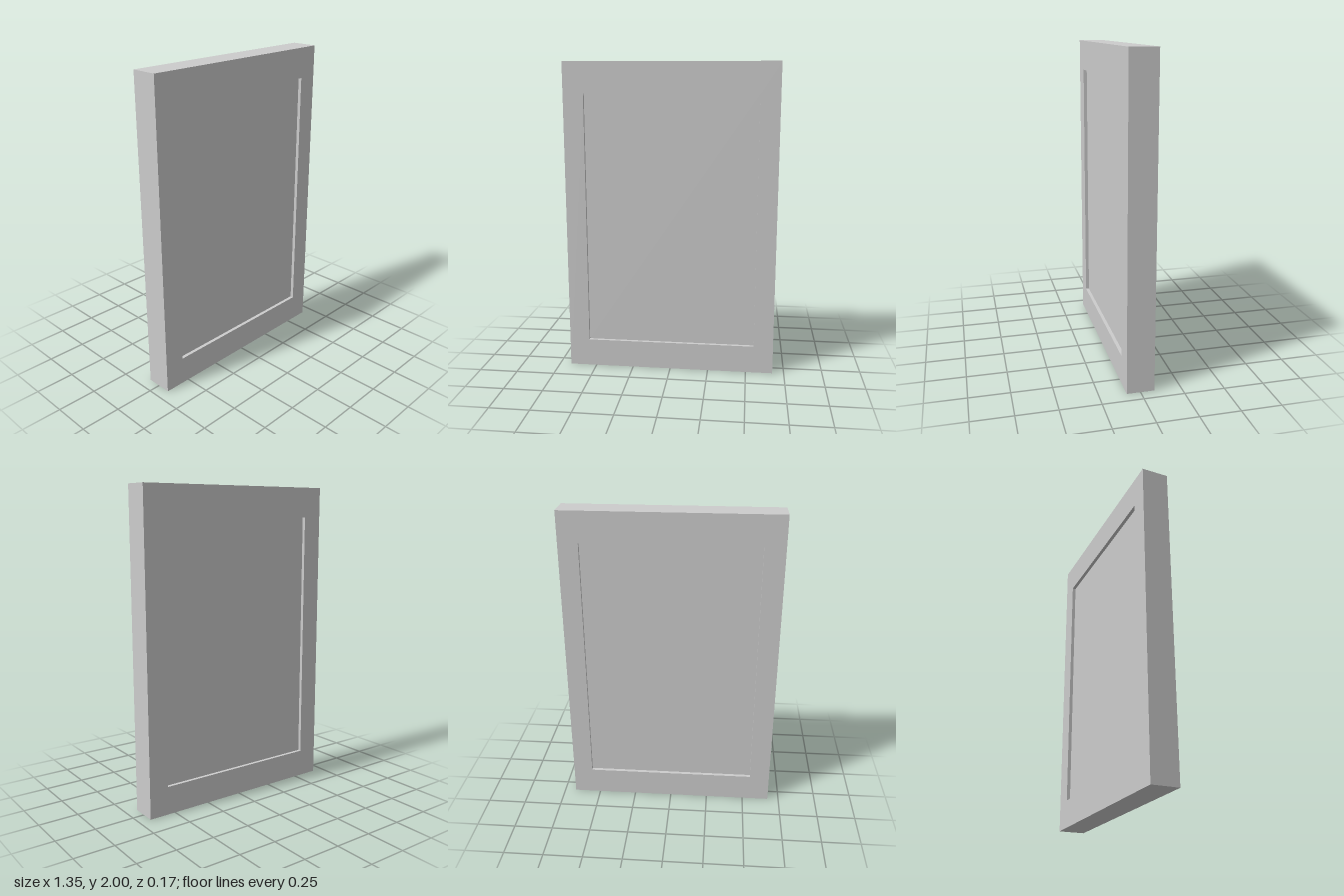
import * as THREE from 'three';

const WIDTH = 1.35, HEIGHT = 2, DEPTH = 0.17, RECESS = 0.022;
const OPENING = { left: -0.545, right: 0.55, bottom: 0.18, top: 1.805 };

// Rectangle outline from corner coordinates
function rectangle(PathType, x0, y0, x1, y1) {
  return new PathType([[x0, y0], [x1, y0], [x1, y1], [x0, y1]].map(([x, y]) => new THREE.Vector2(x, y)));
}

export function createModel() {
  const group = new THREE.Group();
  group.name = 'framedPanel';
  const material = new THREE.MeshStandardMaterial({ color: 0xcccccc });
  const { left, right, bottom, top } = OPENING;

  // Outer frame with a rectangular opening
  const outline = rectangle(THREE.Shape, -WIDTH / 2, 0, WIDTH / 2, HEIGHT);
  outline.holes.push(rectangle(THREE.Path, left, bottom, right, top));
  const frameGeometry = new THREE.ExtrudeGeometry(outline, { depth: DEPTH, bevelEnabled: false });
  frameGeometry.translate(0, 0, -DEPTH / 2);
  const frame = new THREE.Mesh(frameGeometry, material);
  frame.name = 'frame';

  // Inner panel, recessed on both the front and the back
  const panel = new THREE.Mesh(
    new THREE.BoxGeometry(right - left, top - bottom, DEPTH - 2 * RECESS), material);
  panel.position.set((left + right) / 2, (bottom + top) / 2, 0);
  panel.name = 'recessedPanel';

  group.add(frame, panel);
  return group;
}
